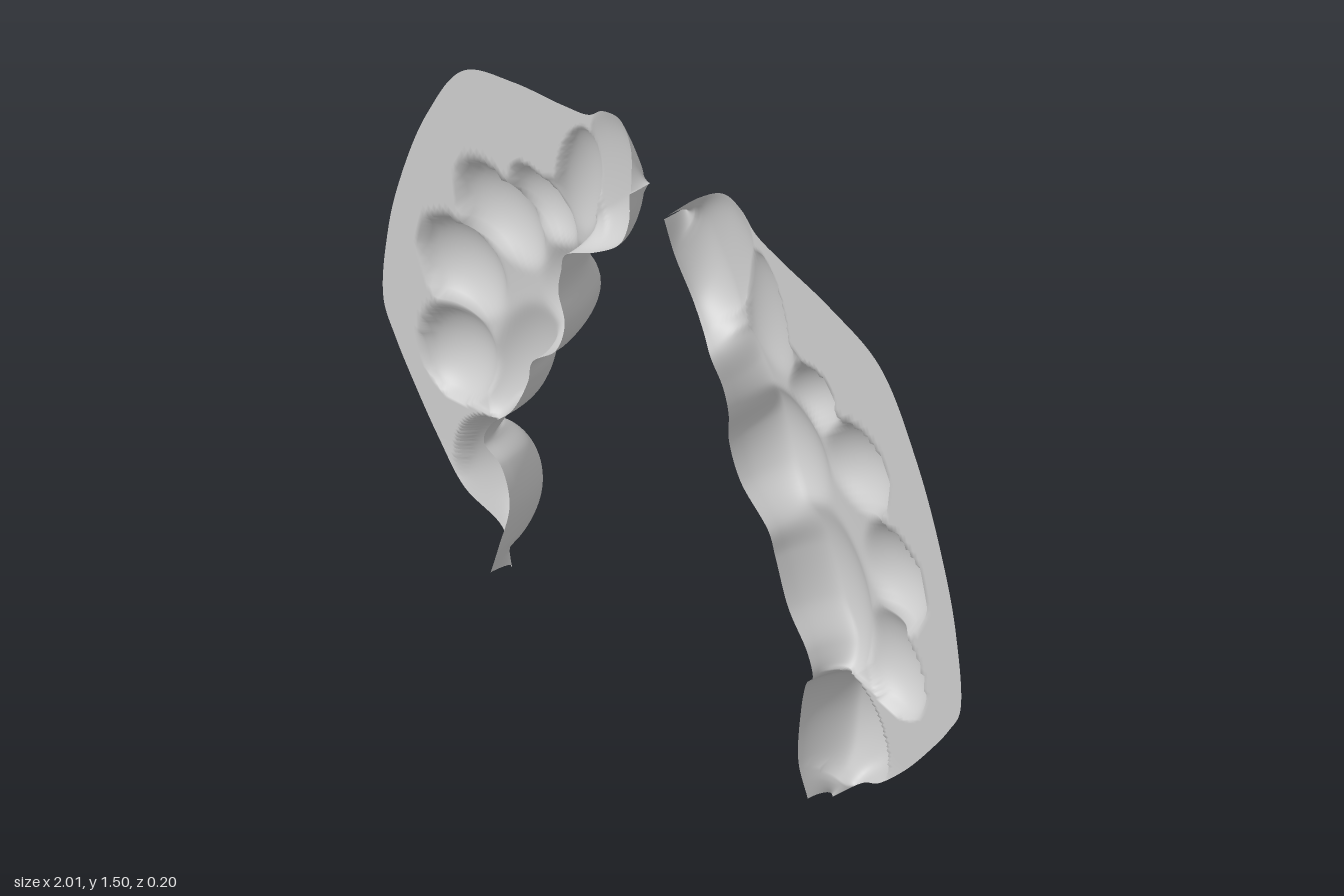
import * as THREE from 'three';

const V = (p) => new THREE.Vector3(...p);
const curve = (pts) => new THREE.CatmullRomCurve3(pts.map(V), false, 'centripetal');

// Inner rim, top to bottom, curling forward (x, y, z)
const inner = curve([
  [0.06, 1.40, 0.075], [0.08, 1.30, 0.06], [0.13, 1.20, 0.05], [0.19, 1.155, 0.07], [0.25, 1.13, 0.1],
  [0.28, 1.06, 0.09], [0.295, 0.99, 0.085], [0.285, 0.90, 0.075], [0.32, 0.80, 0.07], [0.41, 0.71, 0.065],
  [0.43, 0.64, 0.06], [0.48, 0.53, 0.065], [0.55, 0.45, 0.07], [0.57, 0.39, 0.07], [0.53, 0.34, 0.055],
  [0.505, 0.24, 0.05], [0.52, 0.12, 0.07], [0.55, 0.03, 0.068],
]);
// Outer edge of the flat plate, paired point by point with the rim
const outer = curve([
  [0.06, 1.405, 0.07], [0.12, 1.47, 0.02], [0.18, 1.505, 0], [0.24, 1.495, 0], [0.29, 1.455, 0],
  [0.38, 1.43, 0], [0.55, 1.395, 0], [0.72, 1.33, 0], [0.85, 1.13, 0], [0.94, 0.90, 0],
  [0.985, 0.72, 0], [1.0, 0.51, 0], [0.96, 0.43, 0], [0.89, 0.33, 0], [0.81, 0.23, 0],
  [0.72, 0.14, 0], [0.62, 0.065, -0.03], [0.557, 0.005, 0],
]);

// Lobes swelling backwards: x, y, half length, half width, tilt, depth
const lobes = [
  [0.18, 1.34, 0.19, 0.10, 1.4, 0.022],   // top flap
  [0.33, 1.22, 0.19, 0.07, 1.75, 0.045],  // upper strand
  [0.46, 1.07, 0.12, 0.09, 0.9, 0.078],   // outer row
  [0.61, 0.96, 0.15, 0.125, 0.7, 0.09],
  [0.74, 0.74, 0.14, 0.135, 0.5, 0.085],
  [0.75, 0.50, 0.14, 0.115, 2.2, 0.072],
  [0.39, 0.89, 0.17, 0.115, 2.2, 0.075],  // inner row
  [0.54, 0.60, 0.22, 0.115, 2.0, 0.072],
  [0.615, 0.22, 0.175, 0.13, 1.75, 0.103], // bottom bulb
  [0.52, 0.80, 0.46, 0.22, 2.1, 0.045],   // shared ridge under the rows
];

function depthAt(x, y) {
  let sum = 0;
  for (const [cx, cy, a, b, tilt, depth] of lobes) {
    const c = Math.cos(tilt), s = Math.sin(tilt), dx = x - cx, dy = y - cy;
    const d2 = ((dx * c + dy * s) / a) ** 2 + ((dy * c - dx * s) / b) ** 2;
    if (d2 < 1) sum += (depth * (1 - d2) ** 0.6) ** 7;
  }
  return sum ** (1 / 7);
}

const ROWS = 180, COLS = 56;

function lobedSheet(side) {
  const pos = [], index = [];
  for (let i = 0; i <= ROWS; i++) {
    const t = i / ROWS;
    const a = inner.getPoint(t), b = outer.getPoint(t);
    const span = Math.hypot(b.x - a.x, b.y - a.y);
    // the rim curl is broad on the top flap, steep lower down
    const curl = 0.05 + 0.08 * (1 - THREE.MathUtils.smoothstep(t, 0.1, 0.28));
    for (let j = 0; j <= COLS; j++) {
      const s = (j / COLS) ** 1.4;
      const x = a.x + (b.x - a.x) * s, y = a.y + (b.y - a.y) * s;
      const q = Math.min(1, (s * span) / Math.min(curl, span * 0.8 + 1e-4));
      const f = Math.sqrt(1 - (1 - q) ** 2);
      const back = b.z * s ** 3 - depthAt(x, y) * (1 - s ** 12);
      pos.push(side * x, y, a.z * (1 - f) + back * f);
    }
  }
  const w = COLS + 1;
  for (let i = 0; i < ROWS; i++) for (let j = 0; j < COLS; j++) {
    const p = i * w + j, q = p + w;
    if (side > 0) index.push(p, q, p + 1, p + 1, q, q + 1);
    else index.push(p, p + 1, q, p + 1, q + 1, q);
  }
  const g = new THREE.BufferGeometry();
  g.setAttribute('position', new THREE.Float32BufferAttribute(pos, 3));
  g.setIndex(index);
  g.computeVertexNormals();
  return g;
}

export function createModel() {
  const group = new THREE.Group();
  group.name = 'lobedSheetPair';
  const material = new THREE.MeshStandardMaterial({ color: 0xcccccc, side: THREE.DoubleSide });
  for (const [name, side] of [['leftLobedSheet', 1], ['rightLobedSheet', -1]]) {
    const mesh = new THREE.Mesh(lobedSheet(side), material);
    mesh.name = name;
    group.add(mesh);
  }
  return group;
}
